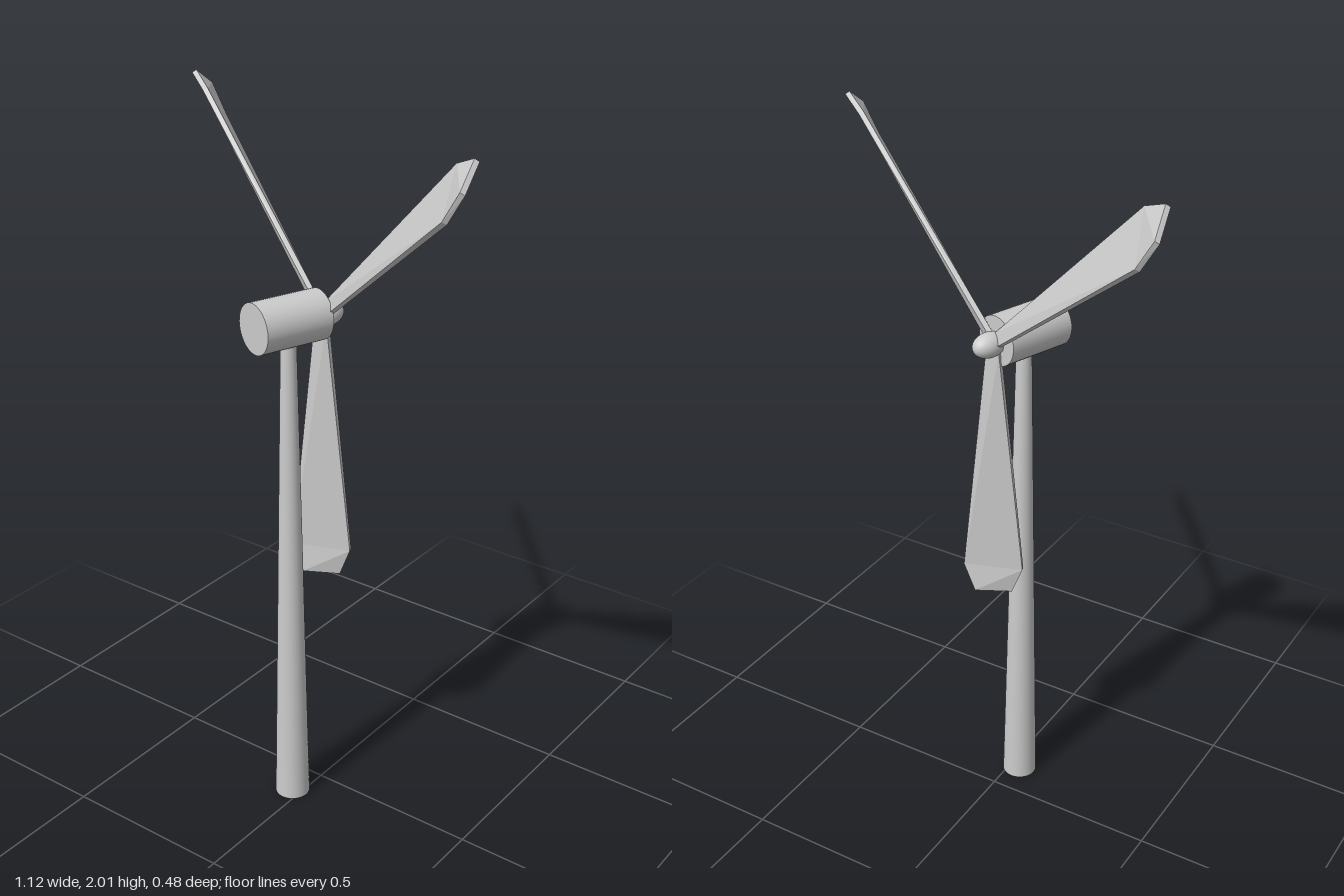
import * as THREE from 'three';

const grey = new THREE.MeshStandardMaterial({ color: 0xcccccc });
const facetedGrey = new THREE.MeshStandardMaterial({ color: 0xcccccc, flatShading: true });

function addMesh(parent, name, geometry, material = grey) {
  const mesh = new THREE.Mesh(geometry, material);
  mesh.name = name;
  parent.add(mesh);
  return mesh;
}

// Twisted blade along +y: a box reshaped through root, shoulder and tip sections
function bladeGeometry() {
  const sections = [
    { radius: 0.02, halfChord: 0.019, pitch: 20 },
    { radius: 0.687, halfChord: 0.083, pitch: 39 },
    { radius: 0.768, halfChord: 0.052, pitch: 47 },
  ];
  const thickness = 0.014;
  const box = new THREE.BoxGeometry(2, 2, 1, 1, 2, 1);
  const pos = box.attributes.position;
  for (let i = 0; i < pos.count; i++) {
    const s = sections[Math.round(pos.getY(i) + 1)];
    const c = pos.getX(i) * s.halfChord;
    const t = pos.getZ(i) * thickness;
    const p = THREE.MathUtils.degToRad(s.pitch);
    pos.setXYZ(i, c * Math.cos(p) - t * Math.sin(p), s.radius, c * Math.sin(p) + t * Math.cos(p));
  }
  const geometry = box.toNonIndexed();
  geometry.computeVertexNormals();
  return geometry;
}

export function createModel() {
  const model = new THREE.Group();
  model.name = 'windTurbine';

  // Tapered tower
  const tower = addMesh(model, 'tower', new THREE.CylinderGeometry(0.021, 0.05, 1.44, 32));
  tower.position.set(-0.03, 0.72, 0.1);

  // Head turned on the tower, its +z pointing out through the rotor
  const head = new THREE.Group();
  head.name = 'head';
  head.position.set(0.003, 1.476, 0);
  head.rotation.y = Math.PI - 0.336;
  model.add(head);

  // Generator housing
  const housing = addMesh(head, 'housing', new THREE.CylinderGeometry(0.069, 0.069, 0.2, 32));
  housing.rotation.x = Math.PI / 2;
  housing.position.set(0, 0.004, -0.109);

  // Rounded hub nose
  const hub = addMesh(head, 'hub', new THREE.SphereGeometry(1, 32, 20));
  hub.scale.set(0.034, 0.034, 0.05);
  hub.position.z = 0.015;

  // Three blades
  const blade = bladeGeometry();
  for (const angle of [-49, 49, 180]) {
    const mesh = addMesh(head, 'blade', blade, facetedGrey);
    mesh.rotation.z = THREE.MathUtils.degToRad(angle);
  }
  return model;
}
